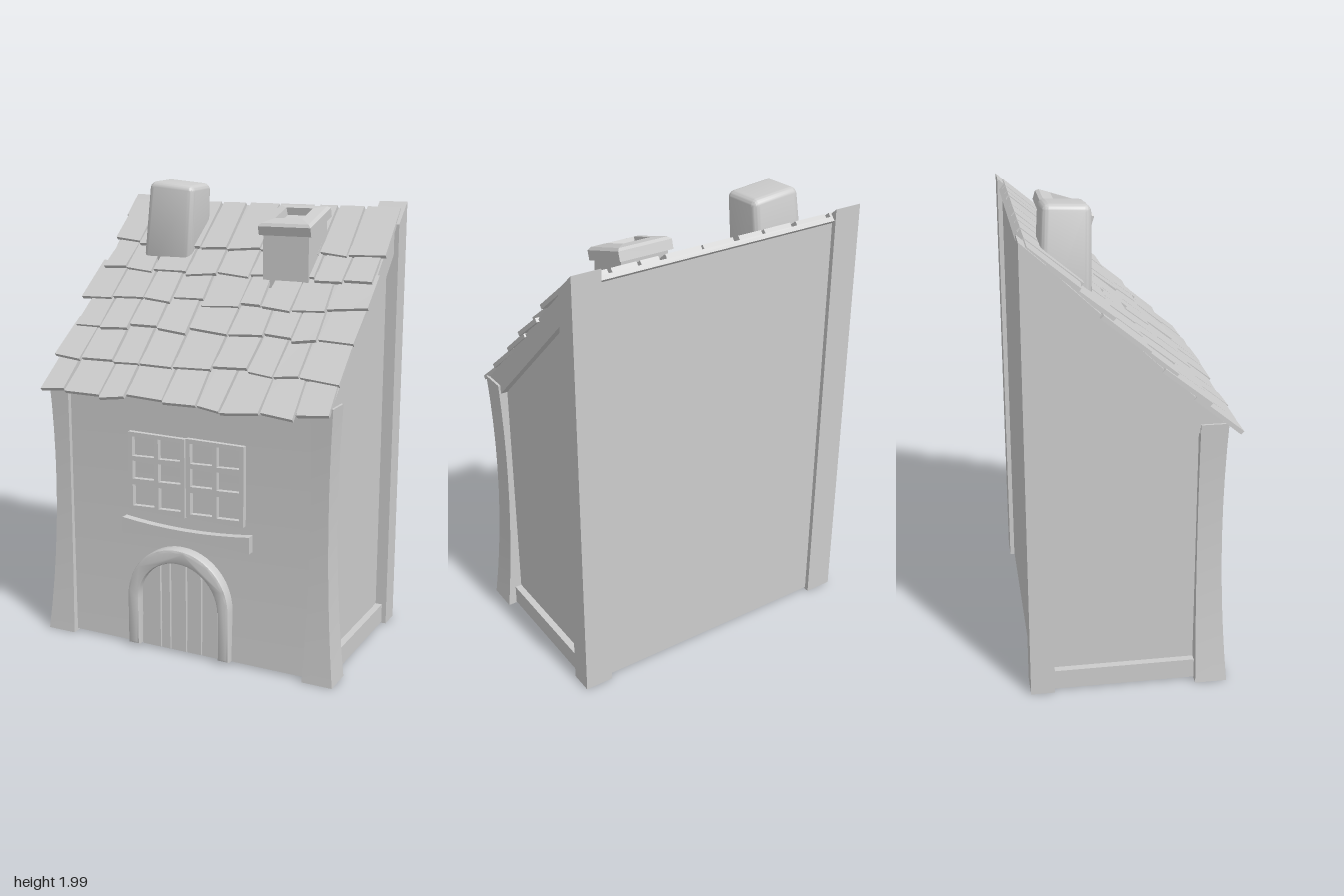
import * as THREE from 'three';
import { toCreasedNormals } from 'three/addons/utils/BufferGeometryUtils.js';
import { RoundedBoxGeometry } from 'three/addons/geometries/RoundedBoxGeometry.js';

const stone = new THREE.MeshStandardMaterial({ color: 0xcccccc });
stone.name = 'pale grey';

function add(parent, name, geometry, crease = 0.6) {
  const mesh = new THREE.Mesh(toCreasedNormals(geometry, crease), stone);
  mesh.name = name;
  parent.add(mesh);
  return mesh;
}

// Box whose unit vertices (-0.5..0.5) are moved by a rule
function shapedBox(rule, sx = 1, sy = 1, sz = 1) {
  const geo = new THREE.BoxGeometry(1, 1, 1, sx, sy, sz);
  const p = geo.attributes.position;
  for (let i = 0; i < p.count; i++) p.setXYZ(i, ...rule(p.getX(i), p.getY(i), p.getZ(i)));
  return geo;
}

const shapeOf = (pts) => new THREE.Shape(pts.map(([x, y]) => new THREE.Vector2(x, y)));

// Outline given as [z, y], extruded across x0..x1
function crossExtrude(pts, x0, x1) {
  const geo = new THREE.ExtrudeGeometry(shapeOf(pts), { depth: x1 - x0, bevelEnabled: false });
  return geo.translate(0, 0, -x1).rotateY(-Math.PI / 2);
}

const frontExtrude = (shape, z0, z1, bevel = 0) =>
  new THREE.ExtrudeGeometry(shape, {
    depth: z1 - z0 - bevel, bevelEnabled: bevel > 0, bevelSize: bevel, bevelThickness: bevel,
    bevelOffset: -bevel, bevelSegments: 2, curveSegments: 16,
  }).translate(0, 0, z0);

const roofY = (z) => 1.9 - 0.952 * (z + 0.41);
const flare = (y) => ((y - 0.75) / 0.75) ** 2;

function arch(cx, r, spring, bottom) {
  const pts = [[cx - r, bottom]];
  for (let i = 0; i <= 24; i++) {
    const a = Math.PI * (1 - i / 24);
    pts.push([cx + r * Math.cos(a), spring + r * Math.sin(a)]);
  }
  pts.push([cx + r, bottom]);
  return pts;
}

function buildFrame(house) {
  // Walls, with a gently hollow front
  const wall = [[-0.41, 0.02]];
  for (let i = 0; i <= 10; i++) {
    const y = 0.02 + i * 0.113;
    wall.push([0.343 + 0.022 * flare(y), y]);
  }
  wall.push([-0.41, roofY(-0.41) - 0.02]);
  add(house, 'walls', crossExtrude(wall, -0.62, 0.62));

  for (const s of [-1, 1]) {
    const side = s > 0 ? 'left' : 'right';
    // Front posts curve outwards at head and foot
    add(house, side + 'FrontPost', shapedBox((x, y, z) => {
      const h = 0.01 + (y + 0.5) * 1.16;
      const outer = 0.647 + 0.043 * flare(h);
      const inner = 0.555 + 0.015 * (1 - flare(h));
      const out = s > 0 ? x > 0 : x < 0;
      return [s * (out ? outer : inner), h, z > 0 ? 0.362 + 0.032 * flare(h) : 0.26];
    }, 1, 10, 1));
    // Back posts run up to the ridge
    add(house, side + 'BackPost', shapedBox((x, y, z) => {
      const top = z > 0 ? 1.83 : 1.92;
      return [s * 0.608 + x * 0.125, y > 0 ? top : 0.01, z > 0 ? -0.33 : -0.43];
    }));
    const x0 = s > 0 ? 0.56 : -0.65, x1 = s > 0 ? 0.65 : -0.56;
    add(house, side + 'Rafter', crossExtrude(
      [[0.27, 1.12], [0.36, 1.14], [0.36, roofY(0.36)], [-0.34, roofY(-0.34)], [-0.34, 1.71]], x0, x1));
    add(house, side + 'FloorBeam', crossExtrude(
      [[-0.34, 0.015], [0.27, 0.015], [0.27, 0.1], [-0.34, 0.1]], x0, x1));
  }
}

function buildRoof(house) {
  const roof = new THREE.Group();
  roof.name = 'roof';
  roof.position.set(0, 1.885, -0.41);
  roof.rotation.x = Math.atan(0.952);
  house.add(roof);
  add(roof, 'roofBoard', new THREE.BoxGeometry(1.29, 0.02, 1.08).translate(0, -0.01, 0.54));

  let seed = 7;
  const jitter = (k) => {
    seed = (seed * 16807) % 2147483647;
    return (seed / 2147483647 - 0.5) * k;
  };
  // Tile joints of each course, ridge to eave
  const ends = [0.28, 0.43, 0.594, 0.76, 0.935, 1.12];
  const joints = [
    [-0.66, -0.52, -0.35, -0.2, -0.07, 0.09, 0.27, 0.37, 0.5, 0.67],
    [-0.65, -0.53, -0.39, -0.22, -0.07, 0.09, 0.25, 0.39, 0.52, 0.65],
    [-0.69, -0.53, -0.37, -0.23, -0.08, 0.1, 0.2, 0.34, 0.49, 0.67],
    [-0.65, -0.52, -0.38, -0.24, -0.09, 0.1, 0.26, 0.39, 0.5, 0.66],
    [-0.68, -0.54, -0.38, -0.25, -0.09, 0.09, 0.25, 0.37, 0.48, 0.66],
    [-0.67, -0.55, -0.37, -0.25, -0.07, 0.09, 0.2, 0.37, 0.52, 0.66],
  ];
  joints.forEach((row, r) => {
    const top = r ? ends[r - 1] - 0.05 : 0;
    for (let i = 0; i < row.length - 1; i++) {
      const drop = jitter(0.035), skew = jitter(0.02), lean = jitter(0.02), lift = jitter(0.008);
      add(roof, 'roofTile', shapedBox((x, y, z) => {
        const edge = x > 0 ? row[i + 1] - 0.004 : row[i] + 0.004;
        const low = z > 0;
        return [
          low ? edge : edge - Math.sign(x) * 0.006 + lean,
          (y > 0 ? 0.018 : 0) + (low ? 0.02 + lift : 0),
          low ? ends[r] + drop + Math.sign(x) * skew : top,
        ];
      }));
    }
  });
}

function buildChimneys(house) {
  // Plain rounded stack, narrower at the top
  const geo = new RoundedBoxGeometry(0.235, 0.46, 0.2, 4, 0.03);
  const p = geo.attributes.position;
  for (let i = 0; i < p.count; i++) {
    const t = 1 - p.getY(i) * 0.25;
    p.setXYZ(i, p.getX(i) * t, p.getY(i), p.getZ(i) * t);
  }
  const stack = add(house, 'roundedChimney', geo, 1);
  stack.position.set(-0.347, 1.762, -0.235);
  stack.rotation.set(0.04, 0, -0.09);

  // Square shaft with a tilted, hollow cap
  add(house, 'chimneyShaft', shapedBox((x, y, z) =>
    [0.26 + x * 0.21, y > 0 ? (z > 0 ? 1.81 : 1.86) : 1.5, -0.17 + z * 0.2]));
  const r = Math.SQRT2;
  const profile = [[0.05, -0.025], [0.12, -0.025], [0.12, 0.015], [0.108, 0.026], [0.062, 0.032], [0.058, 0], [0, 0]]
    .map(([x, y]) => new THREE.Vector2(x * r, y));
  const cap = add(house, 'chimneyCap', new THREE.LatheGeometry(profile, 4).rotateY(Math.PI / 4), 0.1);
  cap.position.set(0.26, 1.845, -0.165);
  cap.rotation.x = 0.3;
}

function buildWindow(house) {
  // Two casements, each with two by three panes
  for (const [x0, x1] of [[-0.27, 0.002], [0.008, 0.275]]) {
    const frame = shapeOf([[x0, 0.635], [x1, 0.628], [x1, 0.972], [x0, 0.976]]);
    const w = (x1 - x0 - 0.06) / 2;
    for (let c = 0; c < 2; c++) {
      for (const [y0, y1] of [[0.65, 0.745], [0.77, 0.85], [0.87, 0.957]]) {
        const a = x0 + 0.02 + c * (w + 0.02);
        frame.holes.push(shapeOf([[a, y0], [a, y1], [a + w, y1 - 0.004], [a + w, y0 + 0.004]]));
      }
    }
    add(house, 'windowFrame', frontExtrude(frame, 0.335, 0.368));
  }
  // Sagging sill
  add(house, 'windowSill', shapedBox((x, y, z) => {
    const bow = 4 * x * x;
    const h = y > 0 ? 0.574 + 0.02 * bow : 0.533 - 0.012 * bow;
    return [0.005 + x * 0.605, h, z > 0 ? 0.38 : 0.33];
  }, 8, 1, 1));
}

function buildDoor(house) {
  const cx = -0.025, r = 0.19, spring = 0.235;
  // Stone surround
  const outline = arch(cx, 0.245, spring + 0.01, 0.022);
  const inner = arch(cx, r, spring, 0.022).reverse();
  add(house, 'doorSurround', frontExtrude(shapeOf([...outline, ...inner]), 0.33, 0.397, 0.012));
  // Planks cut to the arch
  const edges = [-0.21, -0.115, -0.068, 0.01, 0.083, 0.16];
  for (let i = 0; i < edges.length - 1; i++) {
    const a = edges[i] + 0.004, b = edges[i + 1] - 0.004;
    const pts = [[a, 0.022], [b, 0.022]];
    for (let k = 0; k <= 6; k++) {
      const x = b + (a - b) * k / 6;
      pts.push([x, spring + Math.sqrt(Math.max(0, r * r - (x - cx) ** 2))]);
    }
    add(house, 'doorPlank', frontExtrude(shapeOf(pts), 0.33, 0.372));
  }
}

export function createModel() {
  const house = new THREE.Group();
  house.name = 'cottage';
  buildFrame(house);
  buildRoof(house);
  buildChimneys(house);
  buildWindow(house);
  buildDoor(house);
  return house;
}
